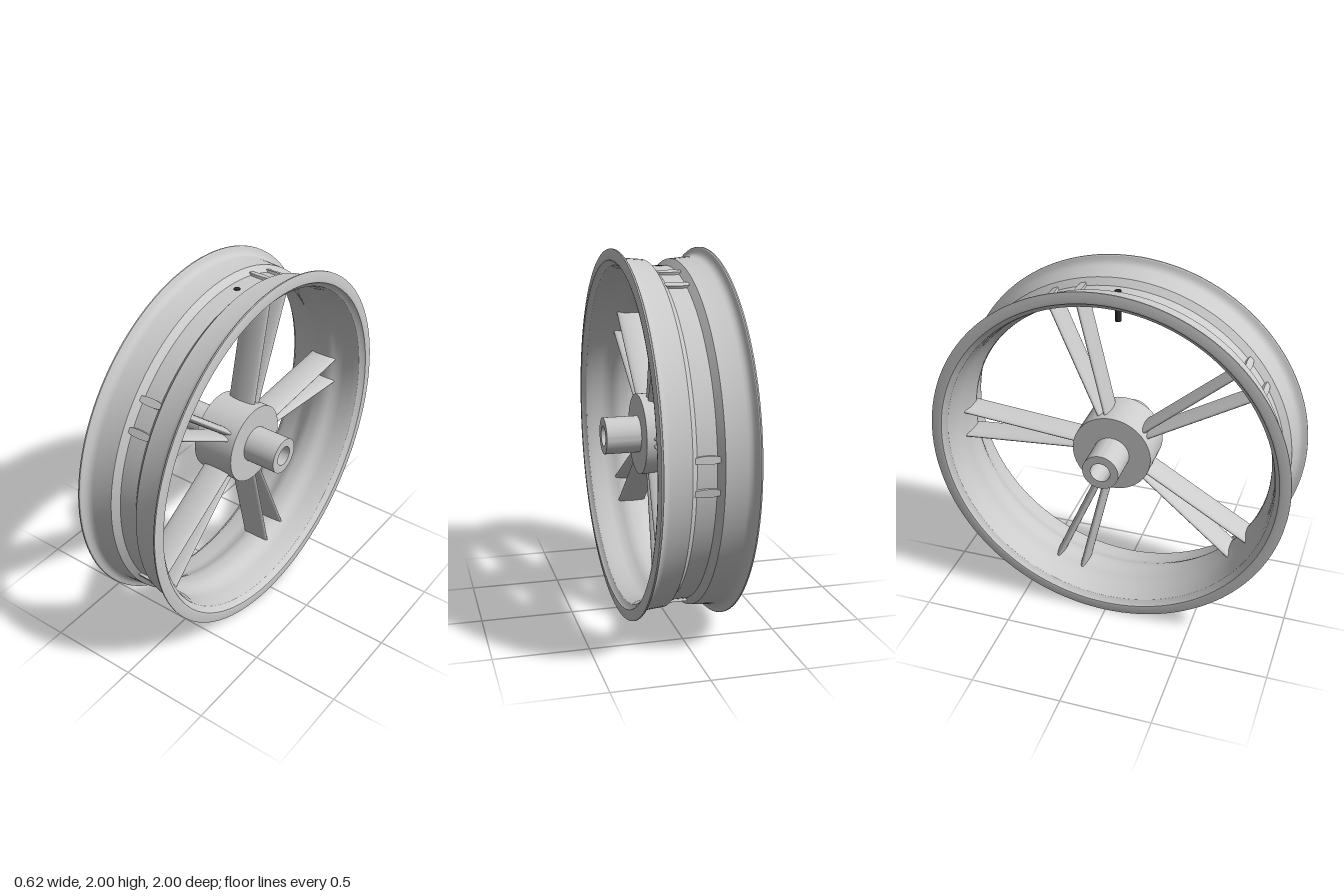
import * as THREE from 'three';
import { toCreasedNormals } from 'three/addons/utils/BufferGeometryUtils.js';

const grey = new THREE.MeshStandardMaterial({ color: 0xcccccc });
const dark = new THREE.MeshStandardMaterial({ color: 0x2a2a2a });

// Revolves a closed [x, radius] profile around the x axis
function revolve(name, profile, segments) {
  const points = [...profile, profile[0]].map(([x, r]) => new THREE.Vector2(r, x));
  const geo = new THREE.LatheGeometry(points, segments).rotateZ(-Math.PI / 2);
  const mesh = new THREE.Mesh(toCreasedNormals(geo, 0.45), grey);
  mesh.name = name;
  return mesh;
}

// Completes a half profile (listed from the middle to +x) with its mirror image
const mirrored = (half) => [...half.slice().reverse().map(([x, r]) => [-x, r]), ...half];

export function createModel() {
  const model = new THREE.Group();
  model.name = 'wheel';
  const wheel = new THREE.Group();
  wheel.name = 'wheelAssembly';
  wheel.position.y = 1;
  model.add(wheel);

  // Rim: drop centre, bead seats, flared lips and a smooth inner barrel
  const outer = mirrored([
    [0.05, 0.908], [0.08, 0.942], [0.19, 0.951], [0.207, 0.956], [0.219, 0.965],
    [0.227, 0.978], [0.233, 0.996], [0.238, 1], [0.245, 1],
  ]);
  const inner = mirrored([
    [0.02, 0.857], [0.045, 0.861], [0.07, 0.873], [0.095, 0.888], [0.13, 0.895],
    [0.19, 0.902], [0.225, 0.913], [0.242, 0.935], [0.251, 0.94], [0.253, 0.955],
  ]);
  wheel.add(revolve('rim', [...outer, ...inner.reverse()], 128));

  // Hub with a bored axle tube
  wheel.add(revolve('hub', [
    [-0.31, 0.055], [-0.31, 0.1], [-0.12, 0.1], [-0.12, 0.22],
    [0.12, 0.22], [0.12, 0.1], [0.31, 0.1], [0.31, 0.055],
  ], 64));

  // Five pairs of flat oval spokes that poke through the rim's drop centre
  const start = 0.18, end = 0.922;
  const spokeGeo = new THREE.CylinderGeometry(1, 1, end - start, 32)
    .scale(0.082, 1, 0.021)
    .translate(0, (start + end) / 2, 0);
  for (let i = 0; i < 5; i++) {
    const pair = new THREE.Group();
    pair.name = `spokePair${i + 1}`;
    pair.rotation.x = -Math.PI / 2 + (i * Math.PI * 2) / 5;
    for (const side of [-1, 1]) {
      const spoke = new THREE.Mesh(spokeGeo, grey);
      spoke.name = 'spoke';
      spoke.rotation.x = side * THREE.MathUtils.degToRad(5.05);
      pair.add(spoke);
    }
    wheel.add(pair);
  }

  // Valve stem through the top of the rim
  const valve = new THREE.Mesh(new THREE.CylinderGeometry(0.017, 0.017, 0.17, 24), dark);
  valve.name = 'valveStem';
  valve.position.y = 0.826;
  wheel.add(valve);

  return model;
}
